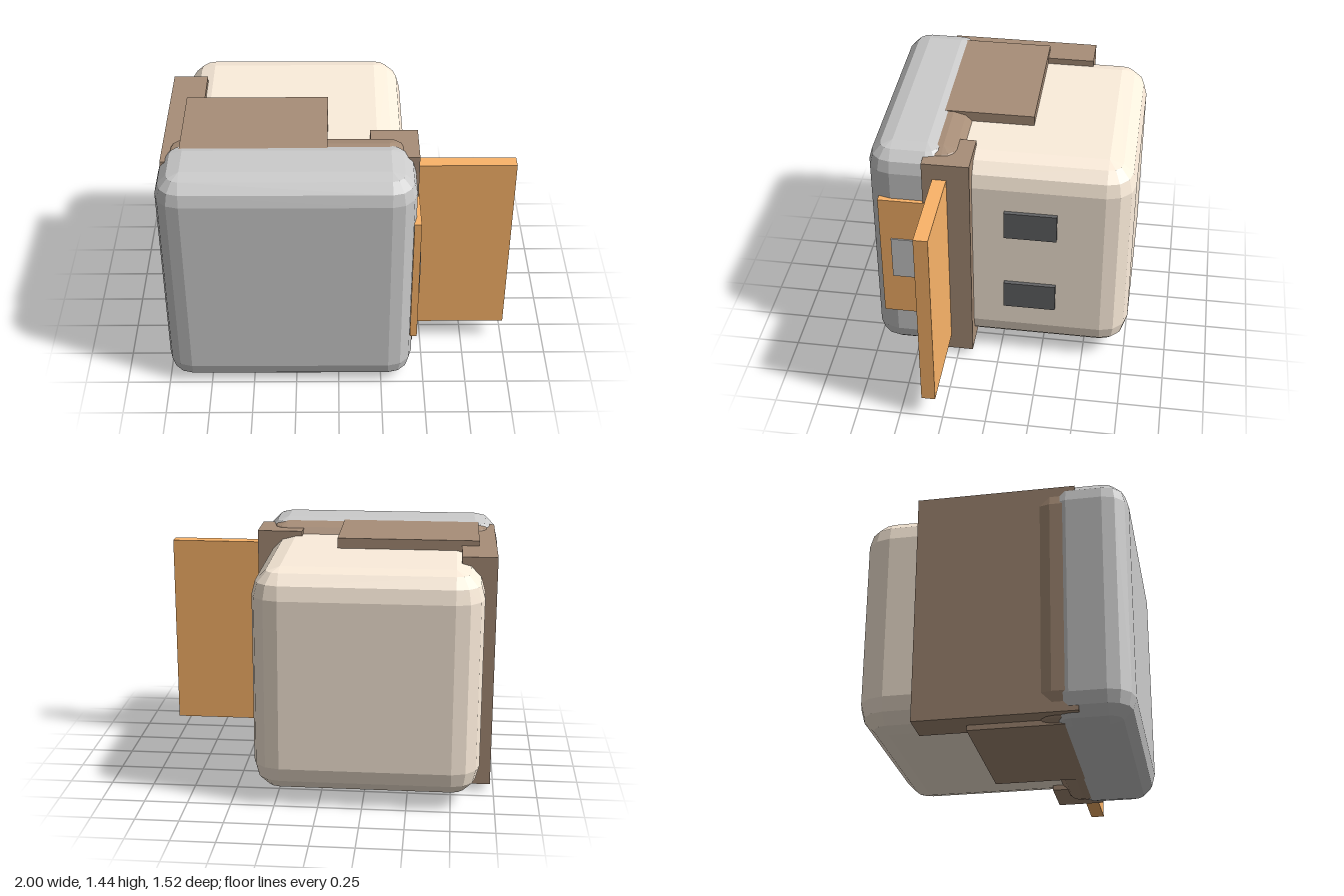
import * as THREE from 'three';
import { ConvexGeometry } from 'three/addons/geometries/ConvexGeometry.js';

const material = (color) => new THREE.MeshStandardMaterial({ color, flatShading: true });

// Box with three-facet rounded edges, given by its extents
function roundedBlock([x0, x1], [y0, y1], [z0, z1], r) {
  const points = [];
  const steps = 3;
  for (const sx of [-1, 1]) for (const sy of [-1, 1]) for (const sz of [-1, 1]) {
    const cx = sx > 0 ? x1 - r : x0 + r;
    const cy = sy > 0 ? y1 - r : y0 + r;
    const cz = sz > 0 ? z1 - r : z0 + r;
    for (let i = 0; i <= steps; i++) {
      const lat = (i / steps) * Math.PI / 2;
      const count = i === steps ? 0 : steps; // a single point at the pole
      for (let j = 0; j <= count; j++) {
        const lon = (j / steps) * Math.PI / 2;
        points.push(new THREE.Vector3(
          cx + sx * r * Math.cos(lat) * Math.cos(lon),
          cy + sy * r * Math.sin(lat),
          cz + sz * r * Math.cos(lat) * Math.sin(lon)));
      }
    }
  }
  return new ConvexGeometry(points);
}

function block([x0, x1], [y0, y1], [z0, z1]) {
  return new THREE.BoxGeometry(x1 - x0, y1 - y0, z1 - z0)
    .translate((x0 + x1) / 2, (y0 + y1) / 2, (z0 + z1) / 2);
}

export function createModel() {
  const model = new THREE.Group();
  const grey = material(0xcccccc);
  const beige = material(0xfdeedc);
  const brown = material(0xa88e78);
  const orange = material(0xfbb469);
  const dark = material(0x636466);

  const add = (name, geometry, mat) => {
    const mesh = new THREE.Mesh(geometry, mat);
    mesh.name = name;
    model.add(mesh);
  };

  // Rounded shells: front lid, collar behind it, rear body
  add('frontShell', roundedBlock([-1, 0.43], [0, 1.44], [0.28, 0.76], 0.14), grey);
  add('collar', roundedBlock([-0.995, 0.425], [0.012, 1.425], [0.19, 0.6], 0.14), brown);
  add('rearShell', roundedBlock([-0.91, 0.38], [0.07, 1.37], [-0.76, 0.4], 0.16), beige);

  // Brown frame: side walls and the band seen above and below
  add('sideWall', block([-0.98, -0.78], [0.04, 1.4], [-0.42, 0.47]), brown);
  add('hingePost', block([0.18, 0.45], [0.04, 1.4], [0.16, 0.43]), brown);
  add('middleBand', block([-0.88, -0.06], [0.01, 1.43], [-0.14, 0.39]), brown);

  // Orange flap and side plate with its grey label
  add('flap', block([0.42, 1], [0.14, 1.3], [0.29, 0.37]), orange);
  add('sidePlate', block([0.415, 0.455], [0.31, 1.13], [0.33, 0.69]), orange);
  add('platePanel', block([0.44, 0.464], [0.585, 0.86], [0.42, 0.625]), grey);

  // Dark vents on the side of the rear shell
  for (const [name, y] of [['lowerVent', 0.465], ['upperVent', 0.98]]) {
    add(name, block([0.36, 0.404], [y - 0.088, y + 0.088], [-0.33, -0.025]), dark);
  }

  return model;
}
